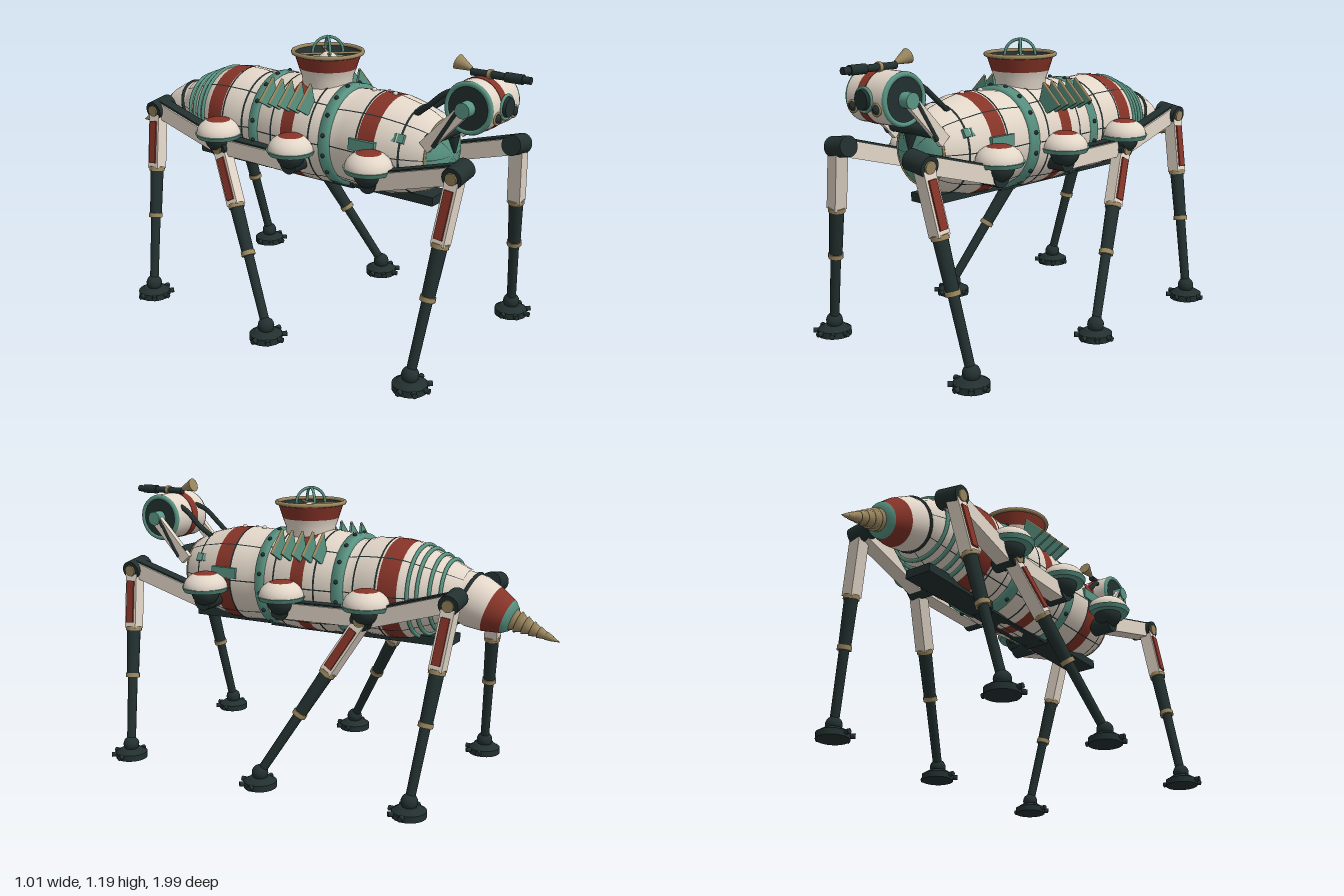
import * as THREE from 'three';

const mat = (name, color, side = THREE.FrontSide) => {
  const m = new THREE.MeshStandardMaterial({ color, side });
  m.name = name;
  return m;
};
const cream = mat('cream', 0xe2d6c8), red = mat('red', 0x863428), teal = mat('teal', 0x5a9584);
const dark = mat('dark', 0x22302f), gold = mat('gold', 0x9c8860);
const V = (x, y, z) => new THREE.Vector3(x, y, z);
const CY = 0.795; // height of the body axis

export function createModel() {
  const root = new THREE.Group();
  root.name = 'walker';

  const add = (parent, name, geo, material, x = 0, y = 0, z = 0) => {
    const m = new THREE.Mesh(geo, material);
    m.name = name;
    m.position.set(x, y, z);
    parent.add(m);
    return m;
  };
  // round rod between two points
  const rod = (parent, name, a, b, r0, r1, material, sides = 14) => {
    const m = add(parent, name, new THREE.CylinderGeometry(r1, r0, a.distanceTo(b), sides), material);
    m.position.copy(a).lerp(b, 0.5);
    m.quaternion.setFromUnitVectors(V(0, 1, 0), b.clone().sub(a).normalize());
    return m;
  };
  // square beam between two points, pushed sideways by dx and up by dy in its own frame
  const beam = (parent, name, a, b, w, h, material, up = V(0, 1, 0), dx = 0, dy = 0) => {
    const g = new THREE.BoxGeometry(w, h, a.distanceTo(b));
    g.translate(dx, dy, 0);
    const m = add(parent, name, g, material);
    m.up.copy(up);
    m.position.copy(a).lerp(b, 0.5);
    m.lookAt(b);
    return m;
  };
  // surface of revolution about z from [z, r] pairs in rising z
  const latheZ = (pts, segs = 40, start = 0, len = Math.PI * 2) =>
    new THREE.LatheGeometry(pts.map(([z, r]) => new THREE.Vector2(r, z)), segs, start, len).rotateX(Math.PI / 2);
  const latheY = (pts) => new THREE.LatheGeometry(pts.map(([r, y]) => new THREE.Vector2(r, y)), 40);

  // body hull
  const hull = [[-0.62, 0.1], [-0.55, 0.132], [-0.48, 0.162], [-0.4, 0.194], [-0.35, 0.202], [-0.3, 0.203],
    [-0.22, 0.2], [-0.16, 0.185], [-0.1, 0.208], [0, 0.215], [0.12, 0.215], [0.2, 0.208], [0.25, 0.192],
    [0.3, 0.197], [0.38, 0.201], [0.46, 0.197], [0.55, 0.176], [0.61, 0.155], [0.65, 0.132]];
  const R = (z) => {
    const i = Math.max(1, hull.findIndex((p) => p[0] >= z));
    const [a, b] = [hull[i - 1], hull[i]];
    return a[1] + (b[1] - a[1]) * (z - a[0]) / (b[0] - a[0]);
  };
  const band = (name, z0, z1, material, grow = 0) => {
    const pts = [[z0, R(z0)], ...hull.filter((p) => p[0] > z0 + 1e-4 && p[0] < z1 - 1e-4), [z1, R(z1)]];
    add(root, name, latheZ(pts.map(([z, r]) => [z, r + grow])), material, 0, CY, 0);
  };
  const stops = [-0.62, -0.39, -0.31, 0.02, 0.08, 0.385, 0.46, 0.65];
  for (let i = 0; i < stops.length - 1; i++)
    band(i % 2 ? 'redBand' : 'hullSection', stops[i], stops[i + 1], i % 2 ? red : cream);
  for (const z of [-0.3, -0.2, -0.03, 0.16, 0.38, 0.56]) band('ringSeam', z - 0.004, z + 0.004, dark, 0.003);
  for (let i = 0; i < 8; i++)
    add(root, 'longSeam', latheZ(hull.map(([z, r]) => [z, r + 0.002]), 1, i * Math.PI / 4 - 0.012, 0.024), dark, 0, CY, 0);

  // bolted collars between the sections
  for (const z of [-0.13, 0.23]) {
    add(root, 'collar', latheZ([[z - 0.022, 0.18], [z - 0.022, 0.21], [z + 0.022, 0.21], [z + 0.022, 0.18]]), teal, 0, CY, 0);
    for (let i = 0; i < 16; i++) {
      const a = (i + 0.5) * Math.PI / 8;
      add(root, 'collarBolt', new THREE.SphereGeometry(0.009, 8, 6), dark, Math.cos(a) * 0.211, CY + Math.sin(a) * 0.211, z);
    }
  }
  for (const z of [-0.43, -0.465, -0.51, -0.55])
    add(root, 'rearRib', new THREE.TorusGeometry(R(z) + 0.004, 0.008, 8, 40), teal, 0, CY, z);
  for (const z of [0.33, 0.43]) add(root, 'topStud', new THREE.SphereGeometry(0.011, 10, 8), cream, 0, CY + R(z), z);

  // nose dome with spokes
  add(root, 'noseDome', latheZ([[0.65, 0.13], [0.672, 0.105], [0.688, 0.065], [0.697, 0]]), teal, 0, CY, 0);
  add(root, 'noseRim', new THREE.TorusGeometry(0.131, 0.005, 8, 40), gold, 0, CY, 0.65);
  for (let i = 0; i < 8; i++)
    add(root, 'noseSpoke', latheZ([[0.652, 0.131], [0.674, 0.106], [0.69, 0.066], [0.699, 0]], 1, i * Math.PI / 4 - 0.014, 0.028), dark, 0, CY, 0);

  // keel boxes
  for (const [z0, z1, w, y] of [[0.27, 0.65, 0.12, 0.61], [-0.15, 0.27, 0.1, 0.6], [-0.56, -0.15, 0.12, 0.605]])
    add(root, 'keel', new THREE.BoxGeometry(w, 0.036, z1 - z0), dark, 0, y, (z0 + z1) / 2);

  // tail and drill, drooping backwards
  const tail = new THREE.Group();
  tail.name = 'tail';
  tail.position.set(0, 0.79, -0.6);
  tail.rotation.x = -0.35;
  root.add(tail);
  add(tail, 'tailSection', latheZ([[-0.12, 0.095], [-0.05, 0.108], [0.02, 0.1]]), cream);
  add(tail, 'tailBand', latheZ([[-0.19, 0.07], [-0.12, 0.095]]), red);
  add(tail, 'tailCollar', latheZ([[-0.215, 0], [-0.215, 0.05], [-0.19, 0.071]]), teal);
  add(tail, 'tailSeam', new THREE.TorusGeometry(0.106, 0.007, 8, 40), dark, 0, 0, -0.02);
  for (let i = 0; i < 7; i++) {
    const z = -0.205 - i * 0.03, r = 0.052 * (1 - i / 7.4);
    add(tail, 'drillStep', latheZ([[z - 0.03, i === 6 ? 0 : r * 0.62], [z, r], [z + 0.001, 0]], 24), gold);
  }

  // dish on the back
  const dish = new THREE.Group();
  dish.name = 'dish';
  dish.position.z = 0.1;
  root.add(dish);
  add(dish, 'dishBase', latheY([[0.1, 0.96], [0.105, 1.02], [0.118, 1.056]]), cream);
  add(dish, 'dishBand', latheY([[0.118, 1.056], [0.137, 1.115]]), red);
  add(dish, 'dishBowl', latheY([[0.135, 1.12], [0.112, 1.065], [0, 1.055]]), dark);
  add(dish, 'dishRim', new THREE.TorusGeometry(0.141, 0.009, 8, 48).rotateX(Math.PI / 2), gold, 0, 1.12, 0);
  add(dish, 'dishRing', new THREE.TorusGeometry(0.115, 0.007, 8, 40).rotateX(Math.PI / 2), teal, 0, 1.075, 0);
  add(dish, 'dishDome', new THREE.SphereGeometry(0.045, 20, 12), cream, 0, 1.075, 0);
  for (const a of [Math.PI / 4, -Math.PI / 4]) {
    add(dish, 'dishHoop', new THREE.TorusGeometry(0.062, 0.006, 8, 24, Math.PI), teal, 0, 1.118, 0).rotation.y = a;
    const c = Math.cos(a) * 0.13, s = Math.sin(a) * 0.13;
    rod(dish, 'dishSpoke', V(-c, 1.112, s), V(c, 1.112, -s), 0.005, 0.005, gold, 8);
  }

  // head: drum lying across the model
  const head = new THREE.Group();
  head.name = 'head';
  head.position.set(0, 1.02, 0.81);
  root.add(head);
  const drum = (name, x0, x1, r, m) => rod(head, name, V(x0, 0, 0), V(x1, 0, 0), r, r, m, 40);
  drum('headDrum', -0.1, 0.1, 0.1, cream);
  drum('headStripe', -0.04, 0.0, 0.102, red);
  for (const s of [-1, 1]) {
    drum('headCap', s * 0.09, s * 0.106, 0.09, dark);
    drum('headHub', s * 0.1, s * 0.15, 0.03, teal);
    add(head, 'headCapRing', new THREE.TorusGeometry(0.09, 0.011, 8, 40).rotateY(Math.PI / 2), teal, s * 0.1, 0, 0);
    add(head, 'smallEye', new THREE.SphereGeometry(0.02, 14, 10), dark, s * 0.066, -0.03, 0.092);
    add(head, 'smallEyeRing', new THREE.TorusGeometry(0.021, 0.005, 8, 20), gold, s * 0.066, -0.03, 0.098);
    beam(root, 'neckArm', V(s * 0.132, 1.03, 0.82), V(s * 0.132, 0.85, 0.65), 0.022, 0.05, cream);
    rod(root, 'neckPost', V(s * 0.138, 0.86, 0.69), V(s * 0.138, 1.02, 0.79), 0.009, 0.009, dark, 10);
    const hose = new THREE.CatmullRomCurve3([V(s * 0.05, 1.07, 0.74), V(s * 0.065, 1.05, 0.69), V(s * 0.07, 0.99, 0.62), V(s * 0.06, 0.945, 0.56)]);
    add(root, 'neckHose', new THREE.TubeGeometry(hose, 16, 0.011, 8), dark);
  }
  rod(head, 'eye', V(0, 0, 0.08), V(0, 0, 0.115), 0.042, 0.036, dark, 28);
  add(head, 'eyeRing', new THREE.TorusGeometry(0.044, 0.006, 8, 28), teal, 0, 0, 0.1);
  rod(root, 'neckBar', V(-0.14, 0.885, 0.675), V(0.14, 0.885, 0.675), 0.024, 0.024, dark);
  rod(root, 'neckWedge', V(0, 0.87, 0.695), V(0, 0.805, 0.705), 0.026, 0.004, dark, 10);

  // scope on top of the head
  rod(root, 'scopeTube', V(0, 1.13, 0.76), V(0, 1.13, 1.0), 0.014, 0.014, dark);
  rod(root, 'scopeSleeve', V(0, 1.13, 0.9), V(0, 1.13, 0.97), 0.019, 0.019, dark);
  rod(root, 'scopeRing', V(0, 1.13, 0.83), V(0, 1.13, 0.845), 0.02, 0.02, gold);
  rod(root, 'scopeHorn', V(0, 1.16, 0.7), V(0, 1.14, 0.76), 0.03, 0.008, gold);
  rod(root, 'scopeMount', V(0, 1.1, 0.82), V(0, 1.13, 0.82), 0.012, 0.012, dark);

  // everything that comes in left and right pairs
  for (const s of [-1, 1]) {
    // cooling fins standing across the back
    for (const z of [0.14, 0.092, 0.044, -0.004, -0.052]) {
      const fin = new THREE.Shape([[0.14, 0.92], [0.165, 1.02], [0.252, 0.935], [0.19, 0.9]].map(([x, y]) => new THREE.Vector2(s * x, y)));
      add(root, 'fin', new THREE.ExtrudeGeometry(fin, { depth: 0.01, bevelEnabled: false }), teal, 0, 0, z - 0.005);
      rod(root, 'finEdge', V(s * 0.165, 1.02, z), V(s * 0.252, 0.935, z), 0.006, 0.006, gold, 6);
    }
    // hatch plates behind the head
    for (const z of [0.525, 0.56])
      add(root, 'hatch', new THREE.BoxGeometry(0.02, 0.034, 0.028), teal, s * 0.153, 0.87, z).rotation.z = s * 0.5;
    add(root, 'sideBox', new THREE.BoxGeometry(0.05, 0.045, 0.12), teal, s * 0.18, 0.825, 0.41);

    // pods, each above a hip
    for (const z of [0.475, 0.1, -0.285]) {
      const pod = new THREE.Group();
      pod.name = 'pod';
      pod.position.set(s * 0.245, 0.765, z);
      root.add(pod);
      const dome = (a, b) => new THREE.SphereGeometry(0.093, 28, 10, 0, Math.PI * 2, a, b).scale(1, 0.72, 1);
      add(pod, 'podCap', dome(0, 0.56), red);
      add(pod, 'podDome', dome(0.56, Math.PI / 2 - 0.56), cream);
      add(pod, 'podRim', new THREE.CylinderGeometry(0.099, 0.09, 0.018, 28), teal, 0, -0.008, 0);
      add(pod, 'podUnderside', new THREE.SphereGeometry(0.06, 20, 12), dark, 0, -0.02, 0);
    }

    // legs: hip z, knee height and z, foot x and z
    for (const [hz, ky, kz, fx, fz] of [[0.48, 0.81, 0.85, 0.4, 0.785], [0.1, 0.71, -0.27, 0.418, 0.105], [-0.28, 0.81, -0.64, 0.4, -0.555]]) {
      const leg = new THREE.Group();
      leg.name = 'leg';
      root.add(leg);
      const hip = V(s * 0.225, 0.705, hz), knee = V(s * 0.225, ky, kz), ankle = V(s * fx, 0.06, fz);
      beam(leg, 'upperArm', hip, knee, 0.066, 0.066, cream);
      beam(leg, 'armTopPlate', hip, knee, 0.05, 0.008, dark, V(0, 1, 0), 0, 0.036);
      rod(leg, 'hipJoint', V(s * 0.17, 0.705, hz), V(s * 0.264, 0.705, hz), 0.04, 0.04, dark, 20);
      rod(leg, 'kneeJoint', V(s * 0.175, ky + 0.01, kz), V(s * 0.275, ky - 0.005, kz), 0.041, 0.041, dark, 20);
      rod(leg, 'kneeCap', V(s * 0.272, ky - 0.005, kz), V(s * 0.282, ky - 0.006, kz), 0.024, 0.024, gold, 16);
      const top = V(s * 0.243, ky - 0.01, kz), at = (t) => top.clone().lerp(ankle, t);
      const fwd = V(0, 0, 1);
      beam(leg, 'shin', at(0), at(0.33), 0.054, 0.056, cream, fwd);
      beam(leg, 'shinPanel', at(0.06), at(0.3), 0.008, 0.036, red, fwd, s * 0.03);
      rod(leg, 'shinRing', at(0.32), at(0.345), 0.034, 0.034, gold);
      rod(leg, 'lowerLeg', at(0.34), at(0.6), 0.029, 0.026, dark);
      rod(leg, 'lowerRing', at(0.59), at(0.615), 0.03, 0.03, gold);
      rod(leg, 'lowerRod', at(0.6), at(1), 0.021, 0.019, dark);
      // foot with stub toes
      add(leg, 'ankle', new THREE.SphereGeometry(0.034, 16, 12), dark, ankle.x, 0.06, fz);
      add(leg, 'footTop', new THREE.CylinderGeometry(0.042, 0.066, 0.016, 24), dark, ankle.x, 0.034, fz);
      add(leg, 'footPad', new THREE.CylinderGeometry(0.068, 0.068, 0.026, 24), dark, ankle.x, 0.013, fz);
      for (let i = 0; i < 5; i++) {
        const a = Math.PI / 2 + (i - 2) * Math.PI / 4, c = Math.cos(a), d = Math.sin(a);
        rod(leg, 'toe', V(ankle.x + c * 0.05, 0.018, fz + d * 0.05), V(ankle.x + c * 0.086, 0.018, fz + d * 0.086), 0.011, 0.011, dark, 8);
      }
    }
  }
  return root;
}
